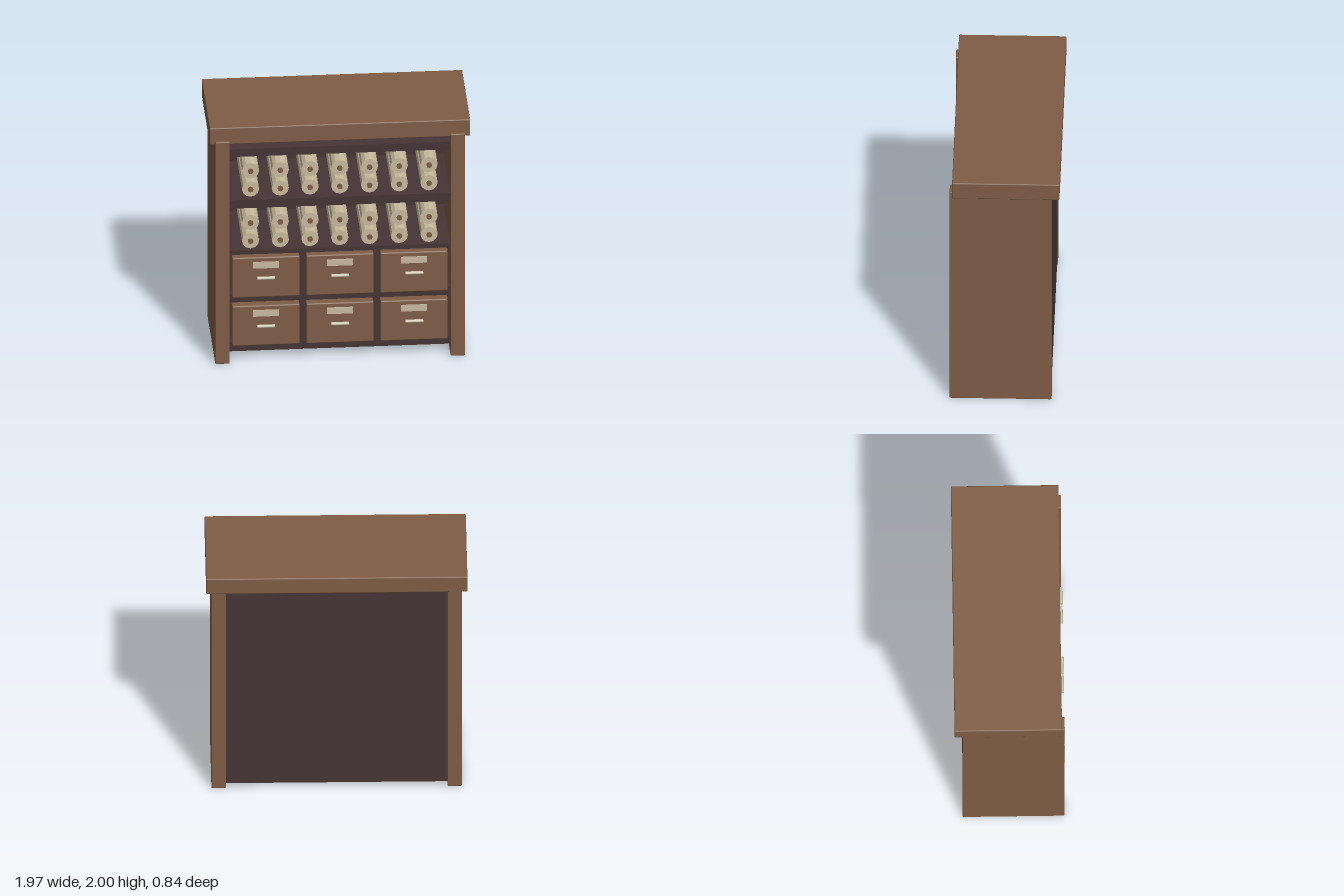
import * as THREE from 'three';
import { RoundedBoxGeometry } from 'three/addons/geometries/RoundedBoxGeometry.js';

const mat = (name, color, flatShading = false) => {
  const m = new THREE.MeshStandardMaterial({ color, flatShading });
  m.name = name;
  return m;
};

export function createModel() {
  const wood = mat('brown wood', 0x7f5d45);
  const dark = mat('dark wood', 0x463536);
  const paper = mat('cream paper', 0xc9bb9d, true);
  const metal = mat('pale metal', 0xc8c6ae);
  const root = new THREE.Group();
  root.name = 'cabinet';

  // Box given by its limits on each axis, with optional softened edges
  const box = (name, [x0, x1], [y0, y1], [z0, z1], material, bevel = 0, parent = root) => {
    const size = [x1 - x0, y1 - y0, z1 - z0];
    const geo = bevel ? new RoundedBoxGeometry(...size, 2, bevel) : new THREE.BoxGeometry(...size);
    const mesh = new THREE.Mesh(geo, material);
    mesh.position.set((x0 + x1) / 2, (y0 + y1) / 2, (z0 + z1) / 2);
    mesh.name = name;
    parent.add(mesh);
    return mesh;
  };

  // Outer case
  box('topSlab', [-0.985, 0.985], [1.86, 2], [-0.42, 0.39], wood, 0.008);
  box('leftSide', [0.835, 0.945], [0, 1.89], [-0.36, 0.41], wood, 0.008);
  box('rightSide', [-0.945, -0.835], [0, 1.89], [-0.36, 0.41], wood, 0.008);
  box('backPanel', [-0.838, 0.838], [0.045, 1.85], [-0.355, -0.31], dark);

  // Shelves
  for (const [y0, y1] of [[0.065, 0.135], [0.855, 0.92], [1.28, 1.35], [1.72, 1.785]]) {
    box('shelf', [-0.838, 0.838], [y0, y1], [-0.32, 0.33], dark);
  }

  // Frame between the drawers
  box('drawerRail', [-0.838, 0.838], [0.475, 0.545], [-0.32, 0.319], dark);
  for (const x of [-0.28, 0.28]) {
    box('drawerDivider', [x - 0.026, x + 0.026], [0.13, 0.86], [-0.32, 0.32], dark);
  }

  // Drawers with label plate and bar handle
  const handleGeo = new THREE.CylinderGeometry(0.013, 0.013, 0.135, 10).rotateZ(Math.PI / 2);
  for (const y of [0.135, 0.545]) {
    for (const x of [-0.56, 0, 0.56]) {
      const drawer = new THREE.Group();
      drawer.name = 'drawer';
      drawer.position.set(x, y, 0);
      root.add(drawer);
      box('drawerBox', [-0.255, 0.255], [0, 0.34], [-0.25, 0.385], wood, 0.01, drawer);
      box('label', [-0.098, 0.098], [0.25, 0.303], [0.384, 0.393], paper, 0, drawer);
      const handle = new THREE.Mesh(handleGeo, metal);
      handle.name = 'handle';
      handle.position.set(0, 0.173, 0.405);
      drawer.add(handle);
    }
  }

  // Paper rolls on wooden cores, two rows on each upper shelf
  const rollGeo = new THREE.CylinderGeometry(0.065, 0.065, 0.66, 12).rotateX(Math.PI / 2);
  const coreGeo = new THREE.CylinderGeometry(0.021, 0.021, 0.67, 8).rotateX(Math.PI / 2);
  for (const y of [1.02, 1.175, 1.46, 1.615]) {
    for (let i = -3; i <= 3; i++) {
      const scroll = new THREE.Group();
      scroll.name = 'scroll';
      scroll.position.set(i * 0.225, y, 0.035);
      const roll = new THREE.Mesh(rollGeo, paper);
      roll.name = 'paperRoll';
      const core = new THREE.Mesh(coreGeo, wood);
      core.name = 'rollCore';
      core.position.z = 0.01;
      scroll.add(roll, core);
      root.add(scroll);
    }
  }
  return root;
}
